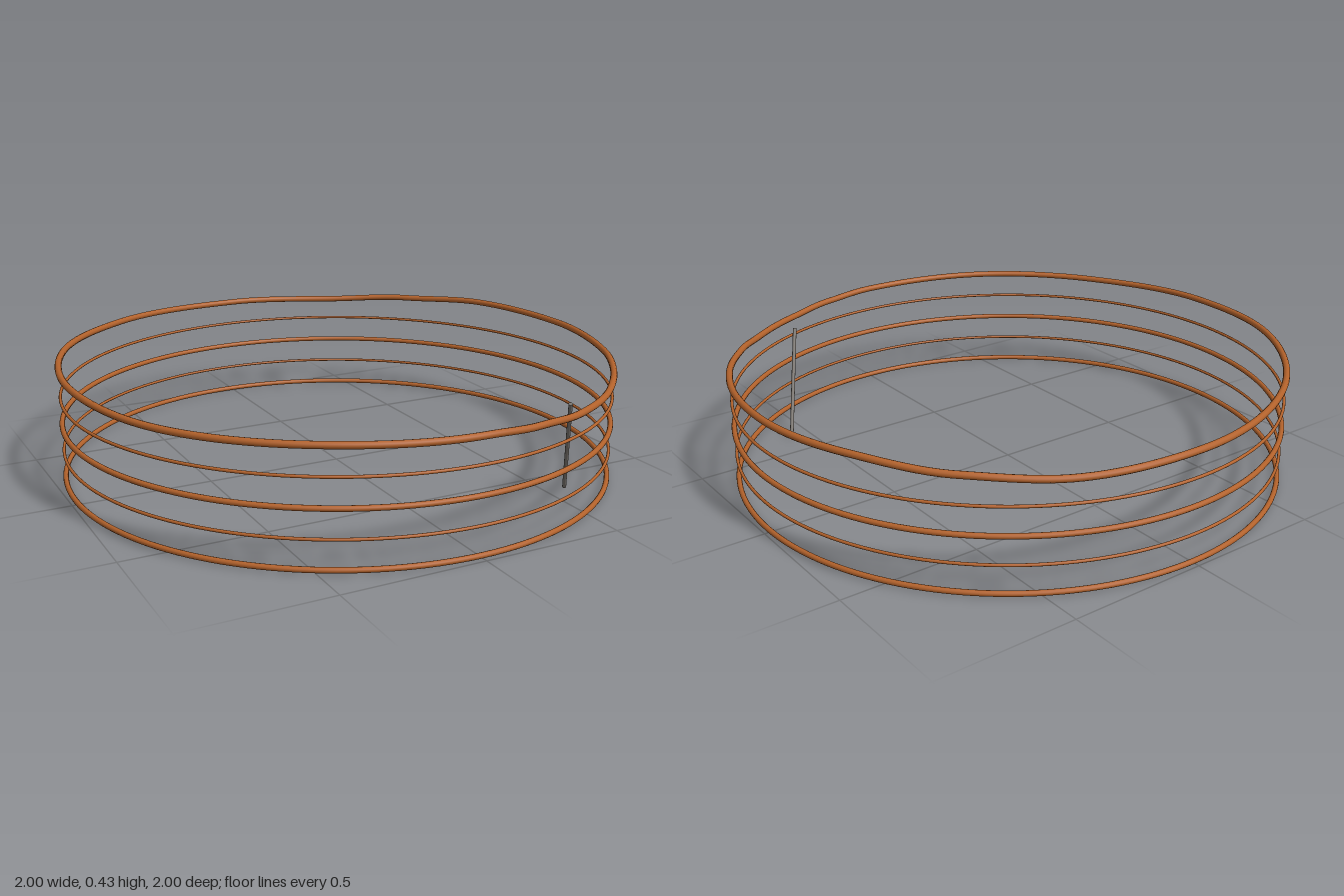
import * as THREE from 'three';

const copper = new THREE.MeshStandardMaterial({ color: 0xb3622b });
copper.name = 'copper';
const greyMetal = new THREE.MeshStandardMaterial({ color: 0x7a756f });
greyMetal.name = 'grey metal';

const RADIUS = 0.986;

// Level hoop on the shared centreline radius
function hoop(name, y, tube) {
  const mesh = new THREE.Mesh(new THREE.TorusGeometry(RADIUS, tube, 12, 160), copper);
  mesh.rotation.x = Math.PI / 2;
  mesh.position.y = y;
  mesh.name = name;
  return mesh;
}

// Uneven top rim: [angle from +x towards +z in degrees, height]
const rimHeights = [
  [0, 0.417], [25, 0.405], [42, 0.39], [52, 0.379], [66, 0.38], [78, 0.391], [90, 0.4],
  [120, 0.406], [150, 0.403], [180, 0.414], [205, 0.423], [235, 0.413],
  [270, 0.402], [295, 0.392], [315, 0.407], [335, 0.423],
];

// Closed circle in plan whose height is eased between the listed points
class RimCurve extends THREE.Curve {
  getPoint(t, target = new THREE.Vector3()) {
    const deg = (((t % 1) + 1) % 1) * 360;
    const n = rimHeights.length;
    let i = n - 1;
    while (rimHeights[i][0] > deg) i--;
    const [a0, h0] = rimHeights[i];
    const [a1, h1] = i + 1 < n ? rimHeights[i + 1] : [360, rimHeights[0][1]];
    const y = h0 + (h1 - h0) * THREE.MathUtils.smoothstep(deg, a0, a1);
    const a = THREE.MathUtils.degToRad(deg);
    return target.set(Math.cos(a) * RADIUS, y, Math.sin(a) * RADIUS);
  }
}

export function createModel() {
  const model = new THREE.Group();
  model.name = 'hoopFrame';

  // Alternating thick and thin level hoops
  model.add(
    hoop('baseHoop', 0.015, 0.0095),
    hoop('lowerThinHoop', 0.113, 0.0055),
    hoop('middleHoop', 0.211, 0.0095),
    hoop('upperThinHoop', 0.309, 0.0055),
  );

  // Wavy top rim
  const rim = new THREE.Mesh(new THREE.TubeGeometry(new RimCurve(), 180, 0.012, 12, true), copper);
  rim.name = 'topRim';
  model.add(rim);

  // Slanted loose rod inside the hoops
  const foot = new THREE.Vector3(0.58, 0.004, 0.62);
  const head = new THREE.Vector3(0.45, 0.375, 0.79);
  const along = head.clone().sub(foot);
  const rod = new THREE.Mesh(new THREE.CylinderGeometry(0.007, 0.007, along.length(), 12), greyMetal);
  rod.position.copy(foot).add(head).multiplyScalar(0.5);
  rod.quaternion.setFromUnitVectors(new THREE.Vector3(0, 1, 0), along.normalize());
  rod.name = 'slantedRod';
  model.add(rod);

  return model;
}
